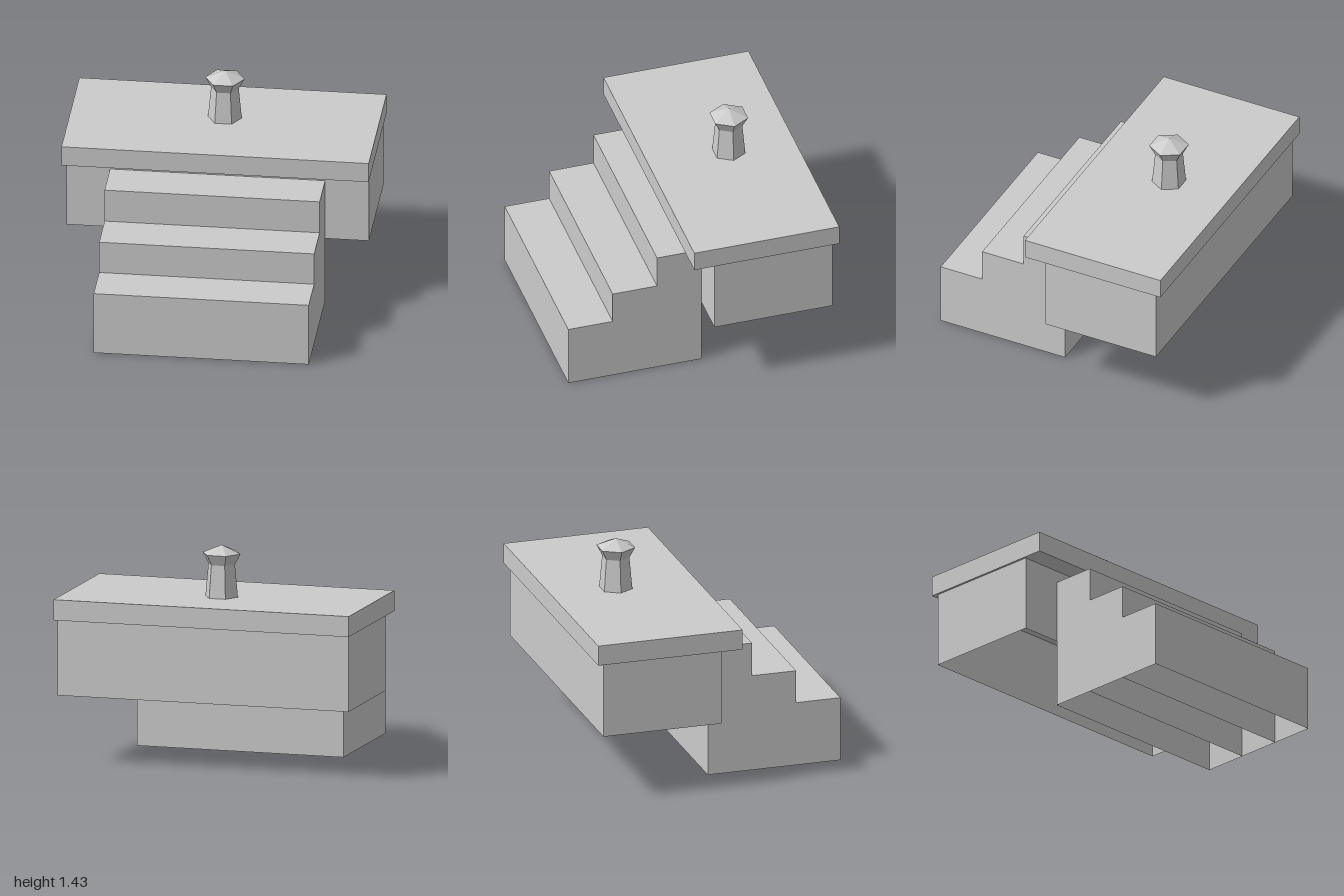
import * as THREE from 'three';

const material = new THREE.MeshStandardMaterial({ color: 0xcccccc, flatShading: true, side: THREE.DoubleSide });
const FACES = ['right', 'left', 'top', 'bottom', 'front', 'back'];

// Box between two corners, leaving out the named faces
function shell(name, [x0, y0, z0], [x1, y1, z1], open = []) {
  const geometry = new THREE.BoxGeometry(x1 - x0, y1 - y0, z1 - z0);
  geometry.translate((x0 + x1) / 2, (y0 + y1) / 2, (z0 + z1) / 2);
  const index = [];
  FACES.forEach((face, i) => {
    if (!open.includes(face)) index.push(...geometry.index.array.slice(i * 6, i * 6 + 6));
  });
  geometry.setIndex(index);
  geometry.clearGroups();
  const mesh = new THREE.Mesh(geometry, material);
  mesh.name = name;
  return mesh;
}

export function createModel() {
  const model = new THREE.Group();
  model.name = 'steppedPlatform';

  // Platform: overhanging slab on a hollow body open underneath
  model.add(shell('platformSlab', [-1, 0.955, -0.87], [1, 1.09, 0.11]));
  model.add(shell('platformBody', [-0.985, 0.455, -0.83], [0.985, 0.955, -0.03], ['top', 'bottom']));

  // Stairs: three hollow blocks sharing their upright walls
  const stairs = new THREE.Group();
  stairs.name = 'stairs';
  const steps = [
    { height: 0.43, back: 0.57, front: 0.87 },
    { height: 0.65, back: 0.27, front: 0.57 },
    { height: 0.875, back: -0.03, front: 0.27 },
  ];
  steps.forEach(({ height, back, front }, i) => {
    const open = i < 2 ? ['bottom', 'back'] : ['bottom'];
    stairs.add(shell(`step${i + 1}`, [-0.7, 0, back], [0.7, height, front], open));
  });
  model.add(stairs);

  // Six-sided post with a flared, pointed cap
  const profile = [[0.11, 1.09], [0.09, 1.305], [0.128, 1.375], [0, 1.43]].map(([r, y]) => new THREE.Vector2(r, y));
  const post = new THREE.Mesh(new THREE.LatheGeometry(profile, 6, Math.PI / 2), material);
  post.name = 'post';
  post.position.z = -0.43;
  model.add(post);

  return model;
}
